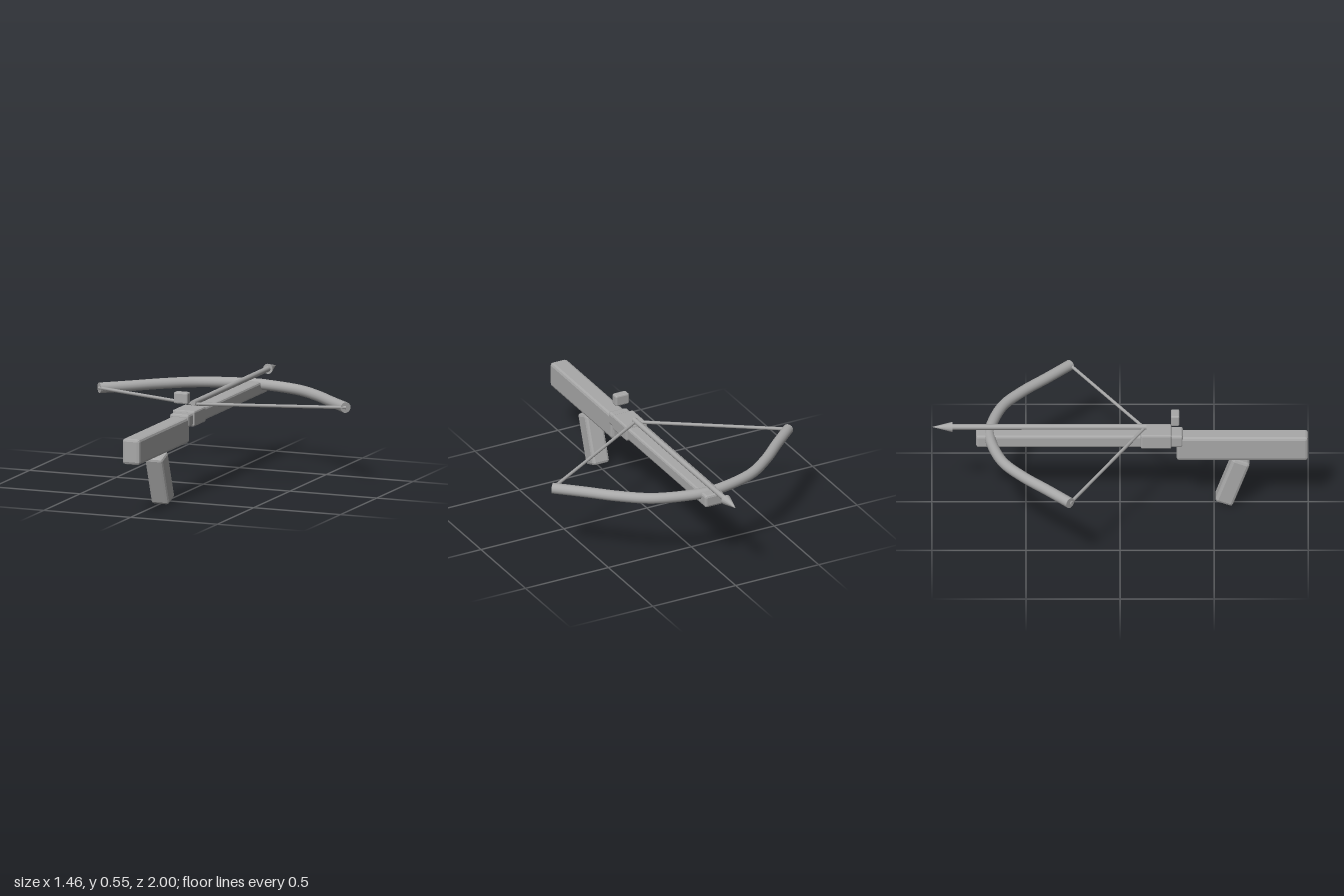
import * as THREE from 'three';
import { RoundedBoxGeometry } from 'three/addons/geometries/RoundedBoxGeometry.js';

export function createModel() {
  const model = new THREE.Group();
  model.name = 'crossbow';
  const grey = new THREE.MeshStandardMaterial({ color: 0xa8a8a8 });
  grey.name = 'plain grey';

  function add(name, geometry, x = 0, y = 0, z = 0) {
    const mesh = new THREE.Mesh(geometry, grey);
    mesh.name = name;
    mesh.position.set(x, y, z);
    model.add(mesh);
    return mesh;
  }

  // Box with flat single-step bevels on its edges
  function bevelBox(name, w, h, d, bevel, y, z) {
    const geometry = new RoundedBoxGeometry(w, h, d, 1, bevel);
    geometry.computeVertexNormals();
    return add(name, geometry, 0, y, z);
  }

  // Cylinder running between two points
  function rod(name, from, to, radius, sides) {
    const geometry = new THREE.CylinderGeometry(radius, radius, from.distanceTo(to), sides);
    const mesh = add(name, geometry);
    mesh.position.copy(from).lerp(to, 0.5);
    mesh.quaternion.setFromUnitVectors(new THREE.Vector3(0, 1, 0), to.clone().sub(from).normalize());
    return mesh;
  }

  // Body
  bevelBox('stock', 0.1, 0.14, 0.7, 0.015, 0.355, 0.65);
  bevelBox('rail', 0.11, 0.07, 1.1, 0.012, 0.405, -0.215);
  bevelBox('receiver', 0.128, 0.085, 0.165, 0.01, 0.408, 0.192);
  bevelBox('sight', 0.08, 0.062, 0.045, 0.008, 0.524, 0.293);
  bevelBox('grip', 0.1, 0.28, 0.1, 0.015, 0.146, 0.598).rotation.x = 0.35;

  // Bow, one curve mirrored about the rail
  const bowRadius = 0.029;
  const half = [[0.05, -0.69], [0.286, -0.624], [0.44, -0.515], [0.577, -0.386], [0.71, -0.265]];
  const points = [
    ...half.map(([x, z]) => new THREE.Vector3(-x, 0.423, z)).reverse(),
    ...half.map(([x, z]) => new THREE.Vector3(x, 0.423, z)),
  ];
  const bow = new THREE.CatmullRomCurve3(points, false, 'centripetal');
  add('bow', new THREE.TubeGeometry(bow, 72, bowRadius, 16));

  // Flat bow ends and the two halves of the drawn string
  const nock = new THREE.Vector3(0, 0.46, 0.13);
  for (const end of [0, 1]) {
    const side = end ? 'left' : 'right';
    const tip = bow.getPoint(end);
    const outward = bow.getTangent(end).multiplyScalar(end ? 1 : -1);
    const cap = add(side + 'BowEnd', new THREE.CircleGeometry(bowRadius, 16));
    cap.position.copy(tip);
    cap.quaternion.setFromUnitVectors(new THREE.Vector3(0, 0, 1), outward);
    rod(side + 'String', tip, nock, 0.009, 8);
  }

  // Bolt
  rod('boltShaft', new THREE.Vector3(0, 0.467, 0.14), new THREE.Vector3(0, 0.467, -0.9), 0.015, 12);
  add('boltHead', new THREE.ConeGeometry(0.028, 0.11, 12), 0, 0.467, -0.945).rotation.x = -Math.PI / 2;

  return model;
}
